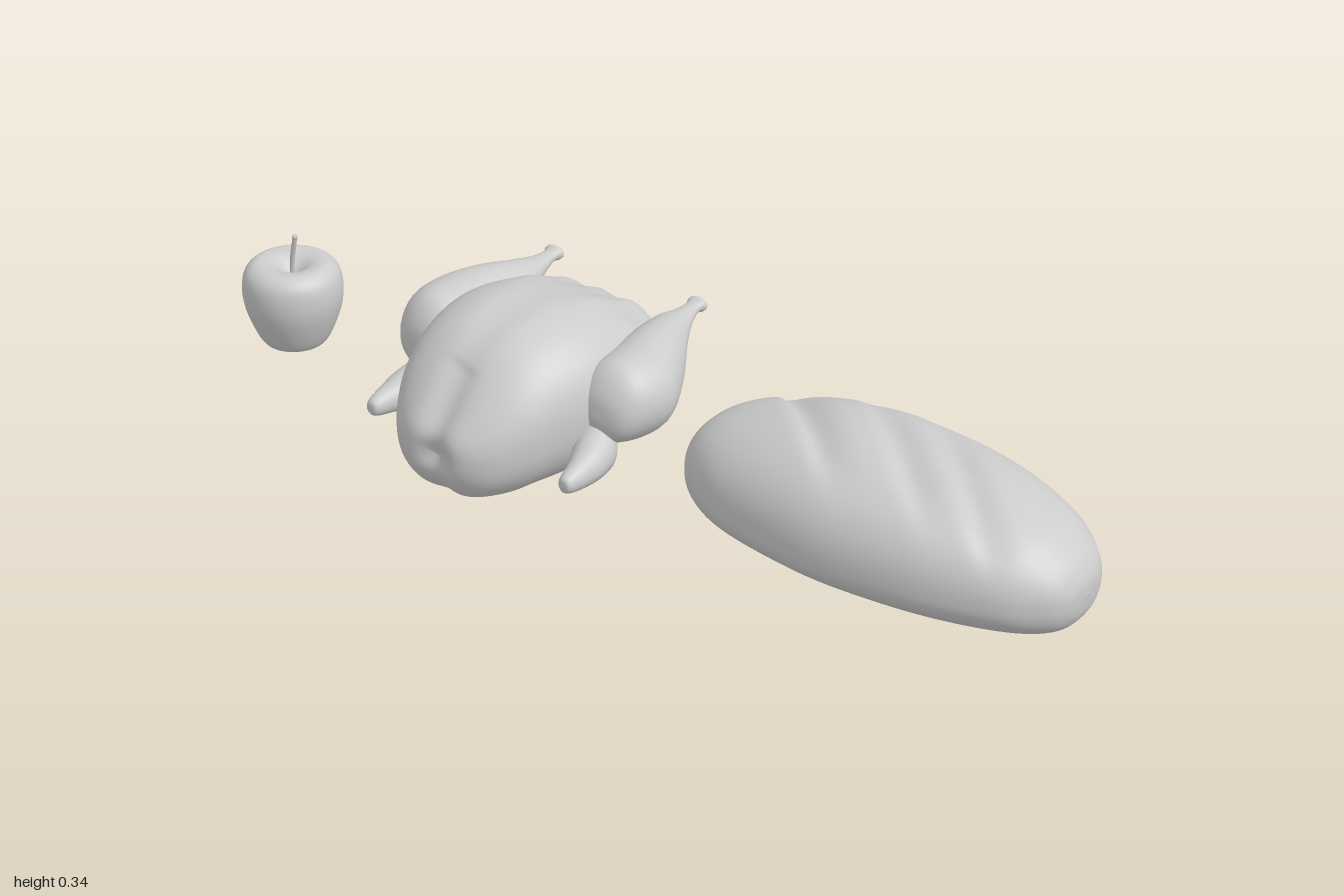
import * as THREE from 'three';
import { mergeVertices } from 'three/addons/utils/BufferGeometryUtils.js';

const material = new THREE.MeshStandardMaterial({ color: 0xcccccc });

function mesh(name, geometry) {
  const m = new THREE.Mesh(geometry, material);
  m.name = name;
  return m;
}

// Smooth loft along z, from front to back.
// Each row: [z, centre x, centre y, half width, height above centre, depth below centre]
function loft(rows, { power = 2, steps = 40, sides = 48, shape } = {}) {
  const centres = new THREE.CatmullRomCurve3(rows.map(r => new THREE.Vector3(r[1], r[2], r[0])), false, 'catmullrom');
  const sizes = new THREE.CatmullRomCurve3(rows.map(r => new THREE.Vector3(r[3], r[4], r[5])), false, 'catmullrom');
  const bend = v => Math.sign(v) * Math.abs(v) ** (2 / power);
  const positions = [], index = [], p = new THREE.Vector3();
  for (let i = 0; i <= steps; i++) {
    const c = centres.getPoint(i / steps), s = sizes.getPoint(i / steps);
    for (let j = 0; j < sides; j++) {
      const a = (j / sides) * Math.PI * 2, sin = Math.sin(a);
      p.set(c.x + s.x * bend(Math.cos(a)), c.y + (sin > 0 ? s.y : s.z) * bend(sin), c.z);
      if (shape) shape(p, Math.max(0, sin));
      positions.push(p.x, p.y, p.z);
      if (i < steps) {
        const k = i * sides + j, n = i * sides + (j + 1) % sides;
        index.push(k, k + sides, n + sides, k, n + sides, n);
      }
    }
  }
  let g = new THREE.BufferGeometry();
  g.setAttribute('position', new THREE.Float32BufferAttribute(positions, 3));
  g.setIndex(index);
  g = mergeVertices(g, 1e-5);
  g.computeVertexNormals();
  return g;
}

// Apple: turned body with dimples, and a leaning stem
function createApple() {
  const apple = new THREE.Group();
  apple.name = 'apple';
  const profile = new THREE.SplineCurve([
    [0, 0.068], [0.03, 0.063], [0.052, 0.055], [0.068, 0.062], [0.085, 0.095], [0.1, 0.14],
    [0.104, 0.18], [0.097, 0.215], [0.075, 0.234], [0.045, 0.232], [0.022, 0.217], [0, 0.198],
  ].map(([x, y]) => new THREE.Vector2(x, y))).getPoints(44);
  profile.forEach(q => { q.x = Math.max(0, q.x); });
  apple.add(mesh('appleBody', new THREE.LatheGeometry(profile, 40)));
  const path = new THREE.CatmullRomCurve3([
    new THREE.Vector3(0, 0.195, 0), new THREE.Vector3(0.003, 0.24, 0), new THREE.Vector3(0.016, 0.298, 0.002),
  ]);
  apple.add(mesh('appleStem', new THREE.TubeGeometry(path, 12, 0.005, 8)));
  const cap = mesh('stemTip', new THREE.SphereGeometry(0.006, 10, 8));
  cap.position.set(0.016, 0.297, 0.002);
  apple.add(cap);
  apple.position.set(-0.895, 0, 0.025);
  return apple;
}

// Roast chicken: breast body, pair of drumsticks, pair of folded wings
function createChicken() {
  const chicken = new THREE.Group();
  chicken.name = 'roastChicken';
  const body = loft([
    [0.297, 0, 0.125, 0, 0, 0],
    [0.304, 0, 0.125, 0.06, 0.045, 0.045],
    [0.27, 0, 0.13, 0.118, 0.085, 0.098],
    [0.21, 0, 0.15, 0.162, 0.128, 0.138],
    [0.15, 0, 0.165, 0.186, 0.157, 0.158],
    [0.08, 0, 0.17, 0.206, 0.173, 0.168],
    [0, 0, 0.175, 0.215, 0.171, 0.171],
    [-0.1, 0, 0.175, 0.205, 0.151, 0.156],
    [-0.17, 0, 0.17, 0.187, 0.122, 0.137],
    [-0.225, 0, 0.165, 0.165, 0.1, 0.105],
    [-0.25, 0, 0.16, 0.138, 0.07, 0.075],
    [-0.235, 0, 0.16, 0.08, 0.04, 0.04],
    [-0.222, 0, 0.16, 0, 0, 0],
  ], {
    power: 2.3, steps: 60, sides: 72,
    // breastbone crease and soft lengthwise folds towards the back
    shape: (p, top) => {
      p.y -= 0.007 * top * Math.exp(-((p.x / 0.035) ** 2));
      const back = THREE.MathUtils.smoothstep(-p.z, 0, 0.22);
      p.y += 0.006 * top * back * Math.cos(p.x * 75);
      if (p.z > 0.2) p.z -= 0.012 * Math.exp(-((p.x / 0.03) ** 2));
    },
  });
  chicken.add(mesh('chickenBody', body));
  for (const side of [1, -1]) {
    const name = side > 0 ? 'left' : 'right';
    const mirrored = rows => rows.map(r => [r[0], r[1] * side, ...r.slice(2)]);
    chicken.add(mesh(name + 'Drumstick', loft(mirrored([
      [0.082, 0.215, 0.18, 0, 0, 0],
      [0.07, 0.22, 0.18, 0.055, 0.055, 0.045],
      [0.03, 0.227, 0.195, 0.08, 0.085, 0.078],
      [-0.04, 0.23, 0.2, 0.09, 0.088, 0.085],
      [-0.12, 0.212, 0.215, 0.073, 0.075, 0.075],
      [-0.2, 0.19, 0.242, 0.045, 0.035, 0.045],
      [-0.25, 0.184, 0.25, 0.025, 0.017, 0.02],
      [-0.283, 0.182, 0.255, 0.017, 0.012, 0.013],
      [-0.298, 0.182, 0.257, 0.022, 0.015, 0.016],
      [-0.307, 0.182, 0.257, 0.019, 0.012, 0.014],
      [-0.307, 0.182, 0.257, 0, 0, 0],
    ]), { steps: 50, sides: 32 })));
    chicken.add(mesh(name + 'Wing', loft(mirrored([
      [0.208, 0.242, 0.1, 0, 0, 0],
      [0.2, 0.242, 0.1, 0.016, 0.018, 0.018],
      [0.15, 0.238, 0.102, 0.03, 0.033, 0.03],
      [0.1, 0.225, 0.108, 0.045, 0.045, 0.042],
      [0.05, 0.2, 0.115, 0.052, 0.05, 0.05],
      [-0.03, 0.17, 0.12, 0, 0, 0],
    ]), { steps: 30, sides: 28 })));
  }
  chicken.position.x = -0.285;
  return chicken;
}

// Bread loaf: rounded crust with three diagonal slashes (lofted along z, then turned along x)
function createBread() {
  const slashes = [-0.19, 0.01, 0.15];
  const g = loft([
    [0.427, 0, 0.175, 0, 0, 0],
    [0.42, 0, 0.175, 0.055, 0.035, 0.045],
    [0.39, 0, 0.175, 0.1, 0.075, 0.075],
    [0.32, 0, 0.175, 0.15, 0.118, 0.086],
    [0.18, 0, 0.175, 0.195, 0.155, 0.091],
    [0, 0, 0.175, 0.214, 0.17, 0.094],
    [-0.14, 0, 0.175, 0.204, 0.165, 0.092],
    [-0.27, 0, 0.175, 0.175, 0.135, 0.089],
    [-0.36, 0, 0.175, 0.125, 0.1, 0.083],
    [-0.41, 0, 0.175, 0.07, 0.055, 0.06],
    [-0.427, 0, 0.175, 0, 0, 0],
  ], {
    power: 2.25, steps: 120, sides: 96,
    shape: (p, top) => {
      const across = -p.x, u = p.z - across * 1.05;
      const fade = top * Math.exp(-((across / 0.13) ** 4));
      // steep on one side of each slash, gentle on the other
      for (const s of slashes) {
        const d = u - s;
        p.y -= 0.02 * fade * Math.exp(-((d / (d > 0 ? 0.055 : 0.018)) ** 2));
      }
    },
  });
  g.rotateY(Math.PI / 2);
  const bread = mesh('breadLoaf', g);
  bread.position.set(0.573, 0, 0.025);
  return bread;
}

export function createModel() {
  const model = new THREE.Group();
  model.name = 'foodSet';
  model.add(createApple(), createChicken(), createBread());
  return model;
}
